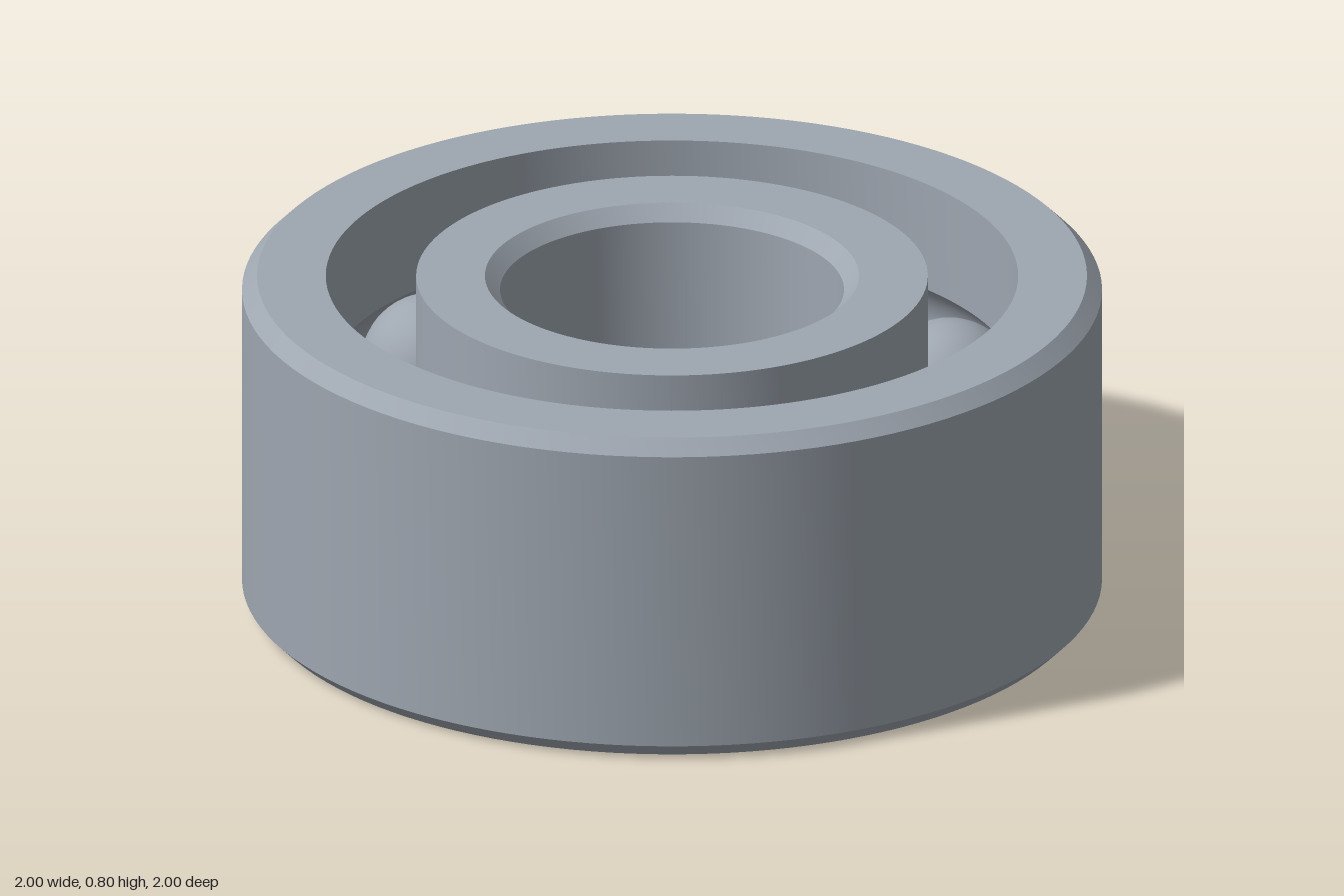
import * as THREE from 'three';
import { toCreasedNormals } from 'three/addons/utils/BufferGeometryUtils.js';

const HEIGHT = 0.8, CHAMFER = 0.035;
const PITCH = 0.7, BALL_RADIUS = 0.165, BALLS = 9;
const GROOVE_RADIUS = 0.17, GAP = 0.105; // gap from pitch circle to each ring wall

// Arc of the ball track, from angle a to angle b around the ball centre
function grooveArc(a, b, steps = 14) {
  return Array.from({ length: steps + 1 }, (_, i) => {
    const t = a + ((b - a) * i) / steps;
    return [PITCH + GROOVE_RADIUS * Math.cos(t), HEIGHT / 2 + GROOVE_RADIUS * Math.sin(t)];
  });
}

// Revolve a closed counter-clockwise profile, keeping its corners sharp
function ring(name, profile, material) {
  const points = [...profile, profile[0]].map(([x, y]) => new THREE.Vector2(x, y));
  const mesh = new THREE.Mesh(toCreasedNormals(new THREE.LatheGeometry(points, 128), 0.5), material);
  mesh.name = name;
  return mesh;
}

export function createModel() {
  const model = new THREE.Group();
  model.name = 'ballBearing';
  const steel = new THREE.MeshStandardMaterial({ color: 0x9ea6b0 });
  steel.name = 'steel';

  const a = Math.acos(GAP / GROOVE_RADIUS);
  const outerWall = PITCH + GAP, innerWall = PITCH - GAP;

  // Outer ring: chamfered outside, ball track inside
  model.add(ring('outerRing', [
    [outerWall, 0], [1 - CHAMFER, 0], [1, CHAMFER],
    [1, HEIGHT - CHAMFER], [1 - CHAMFER, HEIGHT], [outerWall, HEIGHT],
    ...grooveArc(a, -a),
  ], steel));

  // Inner ring: ball track outside, chamfered bore
  const bore = 0.4;
  model.add(ring('innerRing', [
    [bore + CHAMFER, 0], [innerWall, 0],
    ...grooveArc(Math.PI + a, Math.PI - a),
    [innerWall, HEIGHT], [bore + CHAMFER, HEIGHT],
    [bore, HEIGHT - CHAMFER], [bore, CHAMFER],
  ], steel));

  // Balls spaced evenly around the track
  const balls = new THREE.Group();
  balls.name = 'balls';
  const ballGeometry = new THREE.SphereGeometry(BALL_RADIUS, 40, 24);
  for (let i = 0; i < BALLS; i++) {
    const angle = THREE.MathUtils.degToRad(12) + (i * Math.PI * 2) / BALLS;
    const ball = new THREE.Mesh(ballGeometry, steel);
    ball.name = `ball${i + 1}`;
    ball.position.set(PITCH * Math.cos(angle), HEIGHT / 2, PITCH * Math.sin(angle));
    balls.add(ball);
  }
  model.add(balls);
  return model;
}
